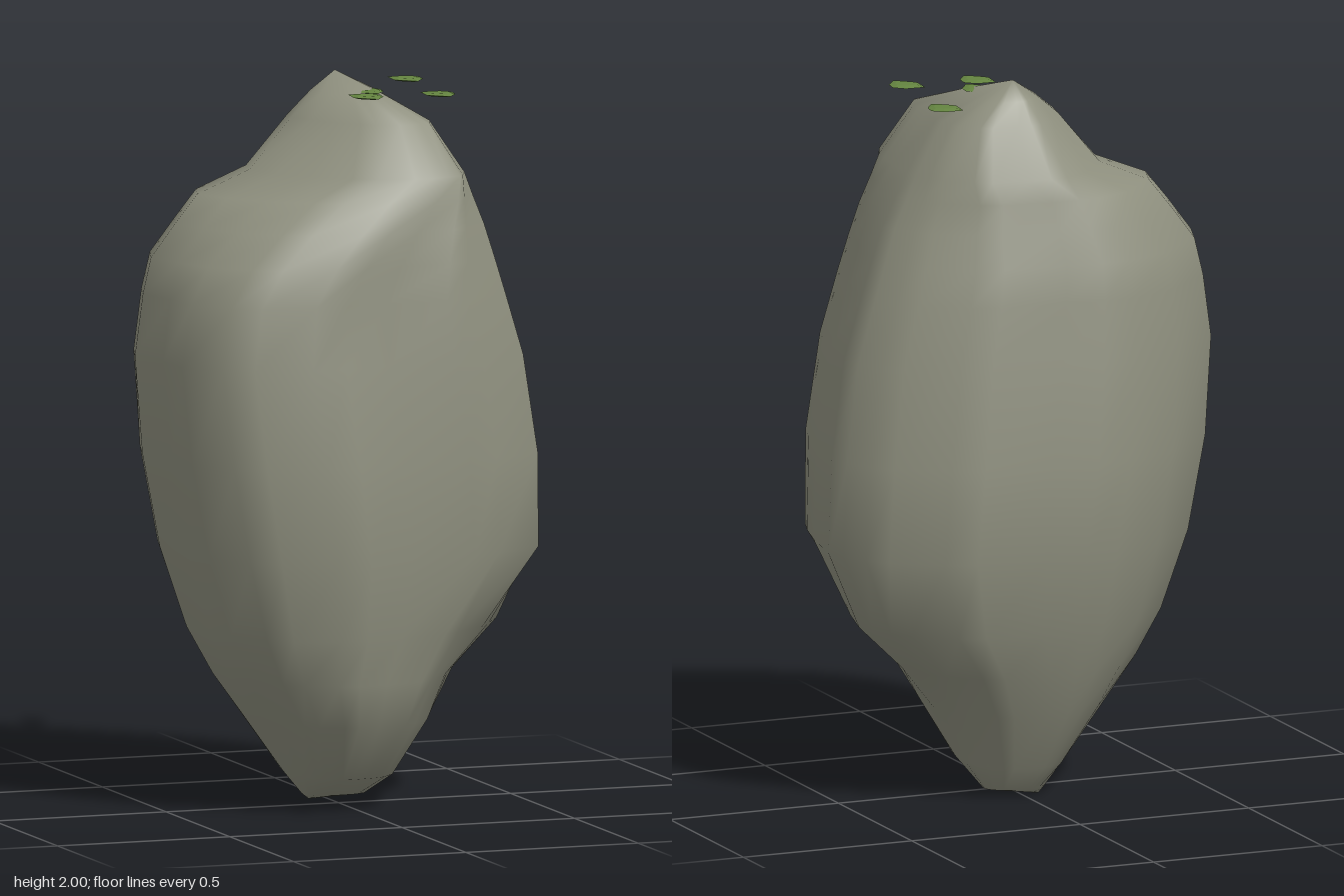
import * as THREE from 'three';
import { ConvexGeometry } from 'three/addons/geometries/ConvexGeometry.js';

// Plan outline of the boulder, clockwise from above: [x, z]
const OUTLINE = [
  [-0.57, -0.07], [-0.53, -0.2], [-0.36, -0.36], [-0.2, -0.42], [-0.1, -0.42], [0.02, -0.395],
  [0.23, -0.38], [0.32, -0.35], [0.46, -0.265], [0.51, -0.21], [0.55, -0.14], [0.57, -0.08],
  [0.53, 0.1], [0.51, 0.21], [0.49, 0.29], [0.33, 0.375], [0.24, 0.395], [0.04, 0.38],
  [-0.1, 0.42], [-0.2, 0.42], [-0.37, 0.385], [-0.45, 0.33], [-0.53, 0.21], [-0.53, 0.07],
];

// Extents at each height, how far the outline relaxes to an oval, and how far
// the front ridge leans to +x: [y, xMin, xMax, zMin, zMax, roundness, lean]
const LEVELS = [
  [0.02, -0.08, 0.1, -0.13, 0.0, 0.6, 0],
  [0.09, -0.15, 0.14, -0.19, 0.19, 0.7, 0],
  [0.25, -0.27, 0.235, -0.275, 0.33, 0.7, 0],
  [0.37, -0.355, 0.335, -0.32, 0.36, 0.6, 0],
  [0.5, -0.425, 0.47, -0.365, 0.39, 0.4, 0],
  [0.72, -0.495, 0.565, -0.415, 0.42, 0.2, 0],
  [0.98, -0.545, 0.555, -0.42, 0.425, 0.15, 0],
  [1.25, -0.57, 0.515, -0.385, 0.4, 0.15, 0],
  [1.42, -0.55, 0.46, -0.365, 0.39, 0.2, 0.02],
  [1.52, -0.53, 0.425, -0.345, 0.38, 0.3, 0.08],
  [1.61, -0.465, 0.39, -0.315, 0.36, 0.4, 0.13],
  [1.69, -0.4, 0.35, -0.295, 0.335, 0.5, 0.19],
  [1.75, -0.25, 0.315, -0.27, 0.31, 0.4, 0.18],
  [1.89, -0.13, 0.22, -0.205, 0.24, 0.4, 0.11],
  [1.95, -0.05, 0.125, -0.165, 0.06, 0.6, 0.05],
];

// Soft local dents and swells: [centre, push, radius]
const DENTS = [
  [[0.36, 0.45, 0.28], [-0.06, 0, -0.05], 0.19],
  [[-0.24, 0.25, 0.24], [0.02, 0, -0.02], 0.15],
  [[0.25, 1.3, 0.37], [0, 0, 0.018], 0.22],
  [[-0.2, 1.45, 0.37], [0, 0, -0.015], 0.2],
  [[0.2, 1.9, -0.15], [0.02, 0, -0.02], 0.1],
].map(([c, p, r]) => [new THREE.Vector3(...c), new THREE.Vector3(...p), r]);

function boulderGeometry() {
  const n = OUTLINE.length;
  const pos = [];
  const index = [];
  // Stretch the plan outline to the extents of each level
  for (const [y, x0, x1, z0, z1, round, lean] of LEVELS) {
    for (const [px, pz] of OUTLINE) {
      const s = THREE.MathUtils.lerp(1, 1 / Math.hypot(px / 0.57, pz / 0.42), round);
      const nx = px / 0.57 * s, nz = pz / 0.42 * s;
      const shift = lean * Math.max(nz, 0) * (1 - Math.max(nx, 0));
      const start = new THREE.Vector3(
        THREE.MathUtils.mapLinear(nx, -1, 1, x0, x1) + shift, y,
        THREE.MathUtils.mapLinear(nz, -1, 1, z0, z1));
      const v = start.clone();
      for (const [centre, push, radius] of DENTS) {
        v.addScaledVector(push, Math.exp(-start.distanceToSquared(centre) / (radius * radius)));
      }
      pos.push(v.x, v.y, v.z);
    }
  }
  const foot = pos.length / 3;
  const peak = foot + 1;
  pos.push(-0.05, 0, -0.1, 0.03, 2, -0.11);

  for (let j = 0; j < n; j++) {
    const k = (j + 1) % n;
    for (let i = 0; i < LEVELS.length - 1; i++) {
      const a = i * n + j, b = i * n + k;
      index.push(a, a + n, b, b, a + n, b + n);
    }
    const top = (LEVELS.length - 1) * n;
    index.push(foot, j, k, top + j, peak, top + k);
  }
  const g = new THREE.BufferGeometry();
  g.setAttribute('position', new THREE.Float32BufferAttribute(pos, 3));
  g.setIndex(index);
  g.computeVertexNormals();
  return g;
}

// Thin faceted flake, thickest in the middle
function mossGeometry() {
  const rim = [[-0.038, -0.053], [0.018, -0.05], [0.045, -0.024], [0.04, 0.014], [0.01, 0.057], [-0.043, 0.01]];
  const pts = [];
  for (const [x, z] of rim) {
    pts.push(new THREE.Vector3(x, 0, z));
    for (const y of [-0.0045, 0.0045]) pts.push(new THREE.Vector3(x * 0.6, y, z * 0.6));
  }
  return new ConvexGeometry(pts);
}

export function createModel() {
  const stone = new THREE.MeshStandardMaterial({ color: 0x8e8f7e });
  stone.name = 'stone grey';
  const green = new THREE.MeshStandardMaterial({ color: 0x648440 });
  green.name = 'moss green';

  const model = new THREE.Group();
  model.name = 'mossyBoulder';

  const boulder = new THREE.Mesh(boulderGeometry(), stone);
  boulder.name = 'boulder';
  model.add(boulder);

  // Moss flakes around the peak
  const flake = mossGeometry();
  [[0.262, -0.167], [0.08, 0.016], [0.043, 0.115], [0.245, 0.134]].forEach(([x, z], i) => {
    const moss = new THREE.Mesh(flake, green);
    moss.name = `mossPatch${i + 1}`;
    moss.position.set(x, 1.955, z);
    model.add(moss);
  });
  return model;
}
